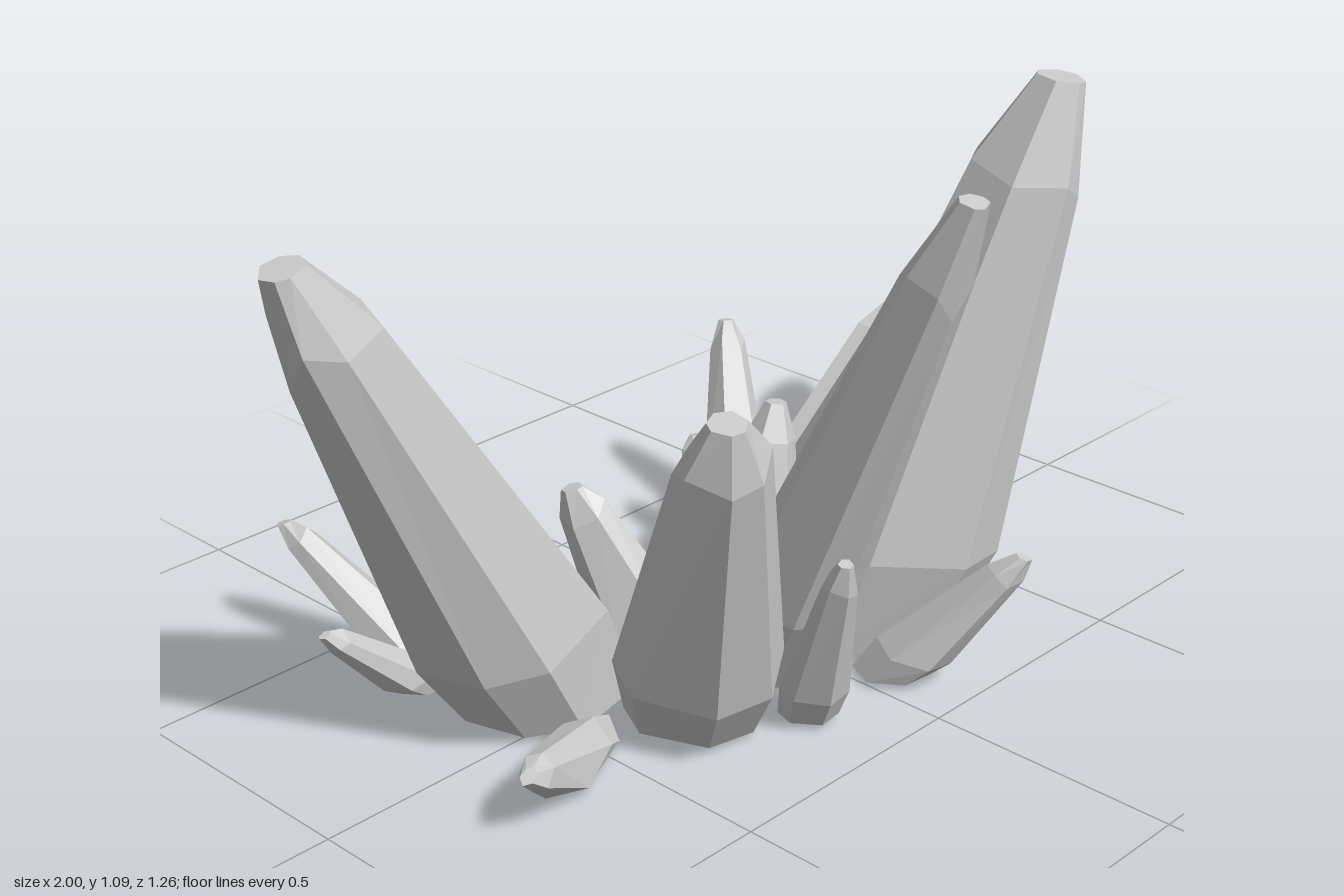
import * as THREE from 'three';

// Small seeded generator for the irregular facets
function seeded(seed) {
  let s = seed * 7919 + 17;
  return () => {
    s = (s * 16807) % 2147483647;
    return s / 2147483647;
  };
}

// One faceted crystal: leaning shaft, flat ground cut, blunt chiselled tip
function crystalGeometry(base, tip, radius, foot, sides, seed) {
  // Rings along the axis: [position, radius factor, how far the ring is sheared to horizontal]
  const profile = [[0, foot, 1], [0.18, 1.03, 0.6], [0.86, 0.54, 0], [1, 0.23, 0.5]];
  const rnd = seeded(seed);
  rnd();
  const axis = tip.clone().sub(base);
  const dir = axis.clone().normalize();
  const u = new THREE.Vector3(0, 0, 1).cross(dir).normalize();
  const w = dir.clone().cross(u);
  const turn = rnd() * Math.PI;
  const angles = [], shoulder = [];
  for (let j = 0; j < sides; j++) {
    angles.push(turn + ((j + (rnd() - 0.5) * 0.4) / sides) * Math.PI * 2);
    shoulder.push((rnd() - 0.5) * 0.09);
  }
  const rings = profile.map(([t, f, shear], i) => angles.map((a, j) => {
    const v = u.clone().multiplyScalar(Math.cos(a)).addScaledVector(w, Math.sin(a)).multiplyScalar(radius * f);
    const along = t + (i === 2 ? shoulder[j] : 0);
    const p = base.clone().addScaledVector(axis, along).add(v);
    p.addScaledVector(dir, -shear * v.y / dir.y);
    p.y = Math.max(p.y, base.y);
    return p;
  }));

  const pos = [];
  const tri = (...pts) => pts.forEach(p => pos.push(p.x, p.y, p.z));
  for (let j = 0; j < sides; j++) {
    const k = (j + 1) % sides;
    for (let i = 0; i < profile.length - 1; i++) {
      const [a, b, c, d] = [rings[i][j], rings[i][k], rings[i + 1][k], rings[i + 1][j]];
      tri(a, b, c);
      tri(a, c, d);
    }
    tri(base, rings[0][k], rings[0][j]);
    tri(tip, rings[3][j], rings[3][k]);
  }
  const geo = new THREE.BufferGeometry();
  geo.setAttribute('position', new THREE.Float32BufferAttribute(pos, 3));
  geo.computeVertexNormals();
  return geo;
}

// name, base x, base z, tip x, tip y, tip z, radius, foot factor
const LARGE = [
  ['leftOuterCrystal', -0.43, -0.08, -0.955, 0.99, -0.07, 0.176, 0.9],
  ['frontLeftCrystal', -0.29, 0.165, -0.48, 0.725, 0.43, 0.152, 0.85],
  ['frontCrystal', -0.09, 0.15, -0.09, 1.04, 0.605, 0.118, 0.75],
  ['frontRightCrystal', 0.175, 0.16, 0.45, 1.085, 0.375, 0.197, 0.84],
  ['rightLongCrystal', 0.29, -0.08, 0.975, 0.75, -0.075, 0.135, 0.95],
];
const SMALL = [
  ['backRightShard', 0.455, -0.28, 0.785, 0.365, -0.285, 0.094, 0.9],
  ['rightFrontShard', 0.385, 0.105, 0.52, 0.495, 0.2, 0.098, 0.95],
  ['backRightSpike', 0.31, -0.29, 0.435, 0.39, -0.445, 0.07, 0.85],
  ['backStub', 0.19, -0.24, 0.24, 0.22, -0.345, 0.064, 0.85],
  ['innerRightShard', 0.06, -0.03, 0.16, 0.41, -0.05, 0.09, 0.85],
  ['innerLeftShard', -0.17, -0.04, -0.265, 0.335, -0.175, 0.09, 0.85],
  ['frontThinShard', -0.155, 0.32, -0.22, 0.385, 0.46, 0.062, 0.9],
  ['frontRightShard', 0.05, 0.34, 0.19, 0.27, 0.535, 0.062, 0.85],
  ['leftLowShard', -0.54, 0.13, -0.77, 0.125, 0.25, 0.062, 0.9],
  ['leftBackSpike', -0.57, -0.255, -0.78, 0.195, -0.27, 0.044, 0.85],
  ['backLongSpike', -0.52, -0.335, -0.605, 0.235, -0.615, 0.06, 0.85],
  ['backLeftStub', -0.4, -0.25, -0.405, 0.17, -0.315, 0.048, 0.85],
  ['backMiddleStub', -0.32, -0.22, -0.245, 0.19, -0.29, 0.06, 0.85],
];

export function createModel() {
  const model = new THREE.Group();
  model.name = 'crystalCluster';
  const material = new THREE.MeshStandardMaterial({ color: 0xcccccc, flatShading: true });
  const add = (list, sides, seedStart) => list.forEach(([name, bx, bz, tx, ty, tz, r, foot], i) => {
    const ground = name === 'rightLongCrystal' ? 0 : 0.012;
    const geo = crystalGeometry(
      new THREE.Vector3(bx, ground, bz), new THREE.Vector3(tx, ty, tz), r, foot, sides, seedStart + i);
    const mesh = new THREE.Mesh(geo, material);
    mesh.name = name;
    model.add(mesh);
  });
  add(LARGE, 7, 3);
  add(SMALL, 6, 21);
  return model;
}
